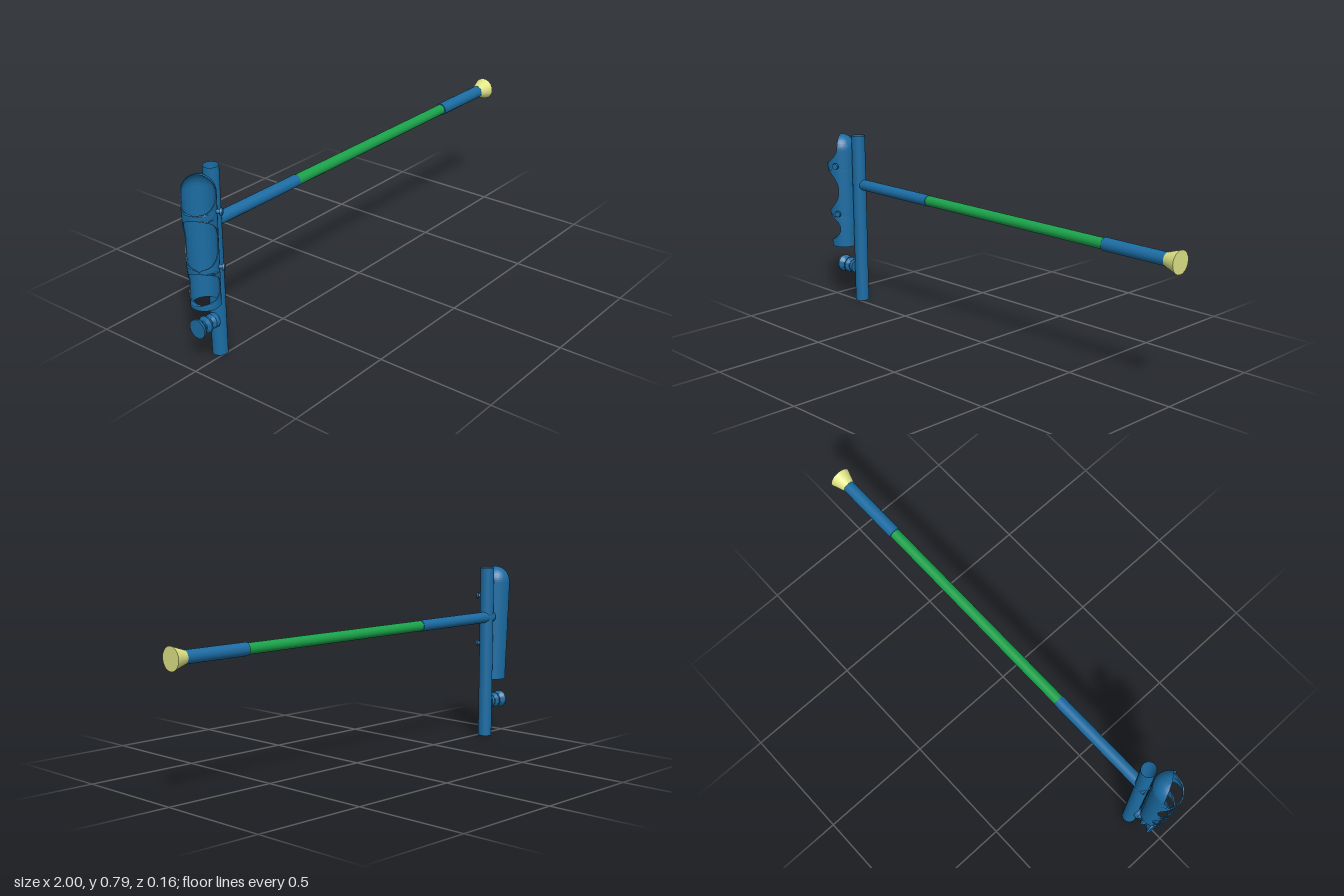
import * as THREE from 'three';
import { toCreasedNormals } from 'three/addons/utils/BufferGeometryUtils.js';

const material = (color) => new THREE.MeshStandardMaterial({ color, side: THREE.DoubleSide });
const AXIS_Y = 0.56, AXIS_Z = -0.031;

// Cuff: tapered tube around the forearm, with scalloped openings and a rounded hood.
const BOTTOM = 0.26, DOME = 0.72, TOP = 0.79, WALL = 0.004;
const OPEN_DIR = Math.PI / 6;              // opening direction, turned from -x towards +z
const OPEN_MAX = THREE.MathUtils.degToRad(94);
const cutouts = [[0.285, 0.412], [0.43, 0.632], [0.655, 0.815]];

const cuffRadius = (y) => 0.058 + 0.009 * Math.min(1, (y - BOTTOM) / (DOME - BOTTOM));
const cuffCentre = (y) => -0.867 - cuffRadius(y);

function halfOpening(y) {
  for (const [low, high] of cutouts) {
    if (y <= low || y >= high) continue;
    const t = (2 * y - low - high) / (high - low);
    // the topmost opening stays wide all the way up the hood
    return high > TOP && t > 0 ? OPEN_MAX : OPEN_MAX * Math.sqrt(1 - t * t);
  }
  return 0;
}

function cuffGeometry() {
  const rows = 120, n = 49, ring = 2 * n;
  const pos = [], index = [];
  for (let j = 0; j <= rows; j++) {
    // closer rows near the top keep the hood round
    const y = BOTTOM + (TOP - BOTTOM) * Math.sin((j / rows) * Math.PI / 2);
    const h = Math.max(0, (y - DOME) / (TOP - DOME));
    const r = cuffRadius(y) * Math.sqrt(Math.max(0, 1 - h * h));
    const a = halfOpening(y);
    for (let i = 0; i < ring; i++) {
      const k = i < n ? i : ring - 1 - i;  // outer wall, then back along the inner wall
      const rad = i < n ? r : Math.max(0, r - WALL);
      const ang = OPEN_DIR + a + (2 * Math.PI - 2 * a) * k / (n - 1);
      pos.push(cuffCentre(y) - rad * Math.cos(ang), y, rad * Math.sin(ang));
    }
  }
  for (let j = 0; j < rows; j++) {
    for (let i = 0; i < ring; i++) {
      const a = j * ring + i, b = j * ring + (i + 1) % ring;
      index.push(a, b, a + ring, b, b + ring, a + ring);
    }
  }
  // bottom rim
  for (let i = 0; i < n - 1; i++) {
    const o = ring - 1 - i;
    index.push(i, o, i + 1, i + 1, o, o - 1);
  }
  const geo = new THREE.BufferGeometry();
  geo.setAttribute('position', new THREE.Float32BufferAttribute(pos, 3));
  geo.setIndex(index);
  return toCreasedNormals(geo, 0.7);
}

export function createModel() {
  const group = new THREE.Group();
  const blue = material(0x1b6ca3), green = material(0x1aa24a), yellow = material(0xdfe486);

  const add = (name, geometry, mat, parent = group) => {
    const mesh = new THREE.Mesh(geometry, mat);
    mesh.name = name;
    parent.add(mesh);
    return mesh;
  };

  // Upright hollow post
  add('post', new THREE.CylinderGeometry(0.031, 0.031, 0.79, 32, 1, true), blue)
    .position.set(-0.838, 0.395, -0.026);

  // Shaft sections running along x: start, end, start radius, end radius
  const section = (name, x0, x1, r0, r1, mat, sides = 32) => {
    const mesh = add(name, new THREE.CylinderGeometry(r0, r1, x1 - x0, sides), mat);
    mesh.rotation.z = Math.PI / 2;         // the cylinder's top faces -x
    mesh.position.set((x0 + x1) / 2, AXIS_Y, AXIS_Z);
  };
  section('upperShaft', -0.868, -0.365, 0.025, 0.025, blue);
  section('middleShaft', -0.365, 0.64, 0.023, 0.023, green);
  section('lowerShaft', 0.64, 0.94, 0.027, 0.027, blue);
  section('footTip', 0.94, 1.0, 0.028, 0.048, yellow, 20);

  // Forearm cuff
  add('forearmCuff', cuffGeometry(), blue);

  // Rivets on the outside of the cuff
  const out = new THREE.Vector3(0.5, 0, 0.866);
  for (const y of [0.65, 0.423]) {
    const rivet = new THREE.Group();
    rivet.name = 'cuffRivet';
    add('rivetStem', new THREE.CylinderGeometry(0.009, 0.009, 0.018, 20), blue, rivet);
    add('rivetHead', new THREE.CylinderGeometry(0.013, 0.015, 0.009, 20), blue, rivet)
      .position.y = 0.013;
    rivet.quaternion.setFromUnitVectors(new THREE.Vector3(0, 1, 0), out);
    rivet.position.set(cuffCentre(y), y, 0).addScaledVector(out, cuffRadius(y) + 0.004);
    group.add(rivet);
  }

  // Stepped grip knob on the post
  const profile = [
    [0, 0], [0.03, 0], [0.03, 0.018], [0.018, 0.029], [0.02, 0.034], [0.035, 0.044],
    [0.035, 0.05], [0.02, 0.06], [0.02, 0.066], [0.039, 0.086], [0.039, 0.094], [0, 0.094],
  ].map(([r, h]) => new THREE.Vector2(r, h));
  const knob = add('gripKnob', toCreasedNormals(new THREE.LatheGeometry(profile, 32), 0.5), blue);
  knob.rotation.z = Math.PI / 2;
  knob.position.set(-0.866, 0.158, -0.019);

  return group;
}
